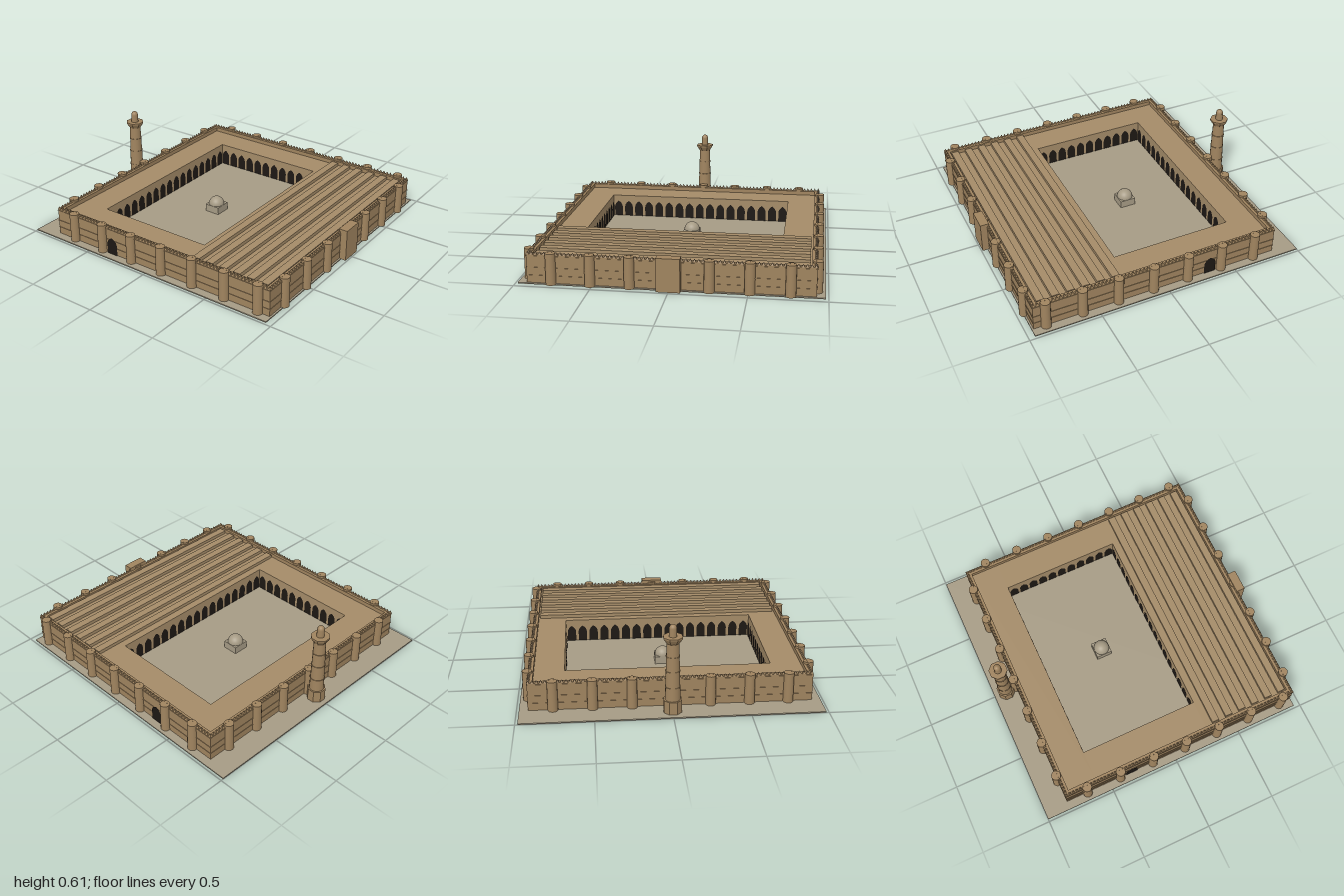
import * as THREE from 'three';
import { mergeGeometries } from 'three/addons/utils/BufferGeometryUtils.js';

const mat = (color, flatShading = false) => new THREE.MeshStandardMaterial({ color, flatShading });
const BRICK = mat(0xa0845f);
const BRICK_FLAT = mat(0xa0845f, true);
const ROOF = mat(0xa48b68);
const STONE = mat(0xa69b85);
const DARK = new THREE.MeshStandardMaterial({ color: 0x1d1814, side: THREE.DoubleSide });

// Outer wall limits and courtyard limits
const W = { x: 0.925, z0: -0.83, z1: 0.945, t: 0.035, h: 0.2 };
const C = { x: 0.688, z0: -0.59, z1: 0.27 };
const ROOF_Y = 0.17, FLOOR = 0.008;

function add(parent, name, geometry, material) {
  const mesh = new THREE.Mesh(geometry, material);
  mesh.name = name;
  parent.add(mesh);
  return mesh;
}

// Box given by its limits
function span(x0, x1, y0, y1, z0, z1) {
  return new THREE.BoxGeometry(x1 - x0, y1 - y0, z1 - z0)
    .translate((x0 + x1) / 2, (y0 + y1) / 2, (z0 + z1) / 2);
}

// Four boxes forming a rectangular ring of thickness t inside the given limits
function ring(x, z0, z1, t, y0, y1) {
  return mergeGeometries([
    span(-x, x, y0, y1, z0, z0 + t),
    span(-x, x, y0, y1, z1 - t, z1),
    span(-x, -x + t, y0, y1, z0 + t, z1 - t),
    span(x - t, x, y0, y1, z0 + t, z1 - t),
  ]);
}

// Flat pointed arch standing on y = 0 and facing +z
function pointedArch(w, h) {
  const s = new THREE.Shape();
  const spring = h * 0.58;
  s.moveTo(-w / 2, 0);
  s.lineTo(w / 2, 0);
  s.lineTo(w / 2, spring);
  s.quadraticCurveTo(w / 2, h * 0.83, 0, h);
  s.quadraticCurveTo(-w / 2, h * 0.83, -w / 2, spring);
  return new THREE.ShapeGeometry(s, 5);
}

function buildWalls(root) {
  const g = new THREE.Group();
  g.name = 'outerWalls';
  add(g, 'wall', ring(W.x, W.z0, W.z1, W.t, 0.004, W.h), BRICK);
  for (const y of [0.055, 0.108, 0.186]) {
    add(g, 'stringCourse', ring(W.x + 0.003, W.z0 - 0.003, W.z1 + 0.003, 0.01, y, y + 0.005), BRICK);
  }

  // Pointed merlons along the parapet
  const spikes = [];
  const spike = (x, z) => spikes.push(
    new THREE.ConeGeometry(0.013, 0.02, 4).rotateY(Math.PI / 4).translate(x, W.h + 0.009, z));
  const inset = 0.008, nx = 68, nz = 66;
  for (let i = 0; i <= nx; i++) {
    const x = (W.x - inset) * (2 * i / nx - 1);
    spike(x, W.z0 + inset);
    spike(x, W.z1 - inset);
  }
  for (let i = 1; i < nz; i++) {
    const z = THREE.MathUtils.lerp(W.z0 + inset, W.z1 - inset, i / nz);
    spike(W.x - inset, z);
    spike(-W.x + inset, z);
  }
  add(g, 'merlons', mergeGeometries(spikes), BRICK_FLAT);

  // Round buttress towers
  const tower = new THREE.CylinderGeometry(0.033, 0.034, 0.211, 16);
  const place = (x, z) => add(g, 'buttressTower', tower, BRICK).position.set(x, 0.1095, z);
  for (let i = -3; i <= 3; i++) {
    place(i * 0.255, W.z0 - 0.002);
    place(i * 0.255, W.z1 + 0.002);
    for (const s of [-1, 1]) place(s * (W.x + 0.004), 0.095 + i * 0.255);
  }

  // Side doors and front gate
  for (const s of [-1, 1]) {
    const door = add(g, 'sideDoor', pointedArch(0.085, 0.125), DARK);
    door.rotation.y = s * Math.PI / 2;
    door.position.set(s * (W.x + 0.006), FLOOR, -0.327);
  }
  add(g, 'frontGate', span(-0.077, 0.077, 0.004, 0.228, 0.93, 0.993), BRICK);
  root.add(g);
}

function buildHalls(root) {
  const g = new THREE.Group();
  g.name = 'halls';
  const xi = W.x - W.t, zb = W.z0 + W.t, zf = W.z1 - W.t;
  add(g, 'backHall', span(-xi, xi, 0.004, ROOF_Y, zb, C.z0), ROOF);
  add(g, 'prayerHall', span(-xi, xi, 0.004, ROOF_Y, C.z1, zf), ROOF);
  add(g, 'rightHall', span(-xi, -C.x, 0.004, ROOF_Y, C.z0, C.z1), ROOF);
  add(g, 'leftHall', span(C.x, xi, 0.004, ROOF_Y, C.z0, C.z1), ROOF);

  // Raised strips on the prayer hall roof
  for (let i = 0; i < 6; i++) {
    const z = 0.323 + i * 0.105;
    add(g, 'roofRidge', span(-0.88, 0.88, ROOF_Y - 0.005, 0.195, z, z + 0.053), ROOF);
  }

  // Arcades facing the courtyard
  const arch = pointedArch(0.062, 0.118);
  const place = (x, z, turn) => {
    const a = add(g, 'arcadeArch', arch, DARK);
    a.position.set(x, FLOOR, z);
    a.rotation.y = turn;
  };
  const nx = 17, nz = 11, gap = 0.004;
  for (let i = 0; i < nx; i++) {
    const x = C.x * (2 * (i + 0.5) / nx - 1);
    place(x, C.z0 + gap, 0);
    place(x, C.z1 - gap, Math.PI);
  }
  for (let i = 0; i < nz; i++) {
    const z = THREE.MathUtils.lerp(C.z0, C.z1, (i + 0.5) / nz);
    place(-C.x + gap, z, Math.PI / 2);
    place(C.x - gap, z, -Math.PI / 2);
  }
  root.add(g);
}

function buildMinaret(root) {
  const g = new THREE.Group();
  g.name = 'minaret';
  g.position.set(0, 0, -0.908);
  const section = (name, r0, r1, y0, y1, sides = 8) => {
    const geo = new THREE.CylinderGeometry(r1, r0, y1 - y0, sides);
    geo.rotateY(Math.PI / sides).translate(0, (y0 + y1) / 2, 0);
    add(g, name, geo, sides === 8 ? BRICK_FLAT : BRICK);
  };
  section('base', 0.063, 0.063, 0.004, 0.095);
  section('shaft', 0.05, 0.04, 0.095, 0.49, 16);
  for (const y of [0.18, 0.29, 0.39]) {
    const r = THREE.MathUtils.mapLinear(y, 0.095, 0.49, 0.05, 0.04) + 0.003;
    section('shaftRing', r, r, y, y + 0.008, 16);
  }
  section('balcony', 0.042, 0.065, 0.485, 0.52);
  section('balconyRim', 0.065, 0.065, 0.52, 0.53);
  section('lantern', 0.026, 0.025, 0.53, 0.582, 16);
  const dome = new THREE.SphereGeometry(0.025, 16, 8, 0, Math.PI * 2, 0, Math.PI / 2);
  add(g, 'lanternDome', dome.scale(1, 1.15, 1).translate(0, 0.582, 0), BRICK);
  root.add(g);
}

export function createModel() {
  const root = new THREE.Group();
  root.name = 'walledCourtyard';
  add(root, 'ground', span(-0.983, 0.983, 0, FLOOR, -1, 0.957), STONE);
  buildWalls(root);
  buildHalls(root);
  buildMinaret(root);

  // Domed fountain in the courtyard
  const fountain = new THREE.Group();
  fountain.name = 'fountain';
  fountain.position.set(0, 0, -0.14);
  add(fountain, 'fountainBase', span(-0.057, 0.057, 0.004, 0.062, -0.057, 0.057), STONE);
  const dome = new THREE.SphereGeometry(0.056, 24, 10, 0, Math.PI * 2, 0, Math.PI / 2);
  add(fountain, 'fountainDome', dome.translate(0, 0.062, 0), STONE);
  root.add(fountain);
  return root;
}
